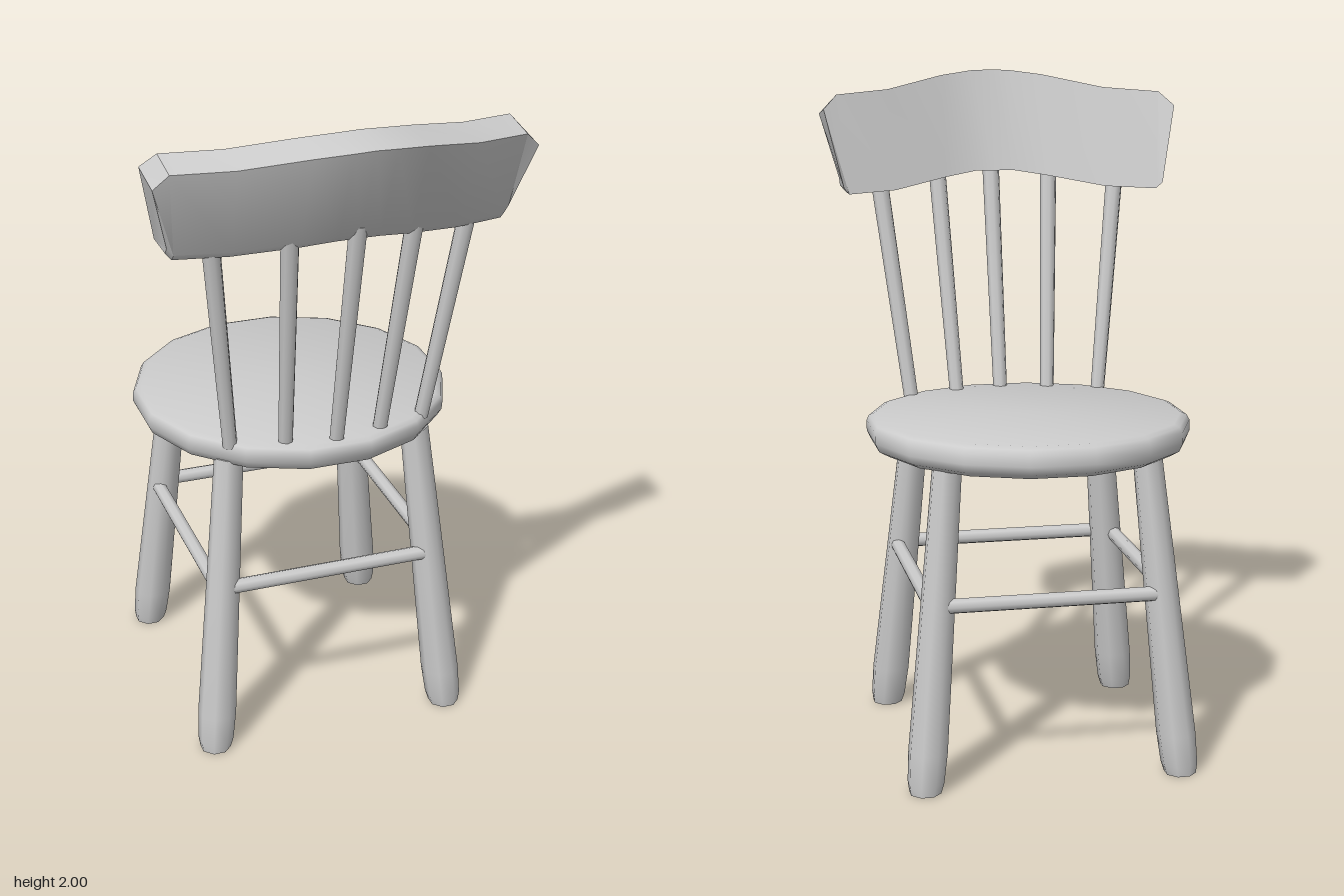
import * as THREE from 'three';
import { toCreasedNormals } from 'three/addons/utils/BufferGeometryUtils.js';

const material = new THREE.MeshStandardMaterial({ color: 0xcccccc });
const V = (x, y, z) => new THREE.Vector3(x, y, z);

function part(name, geometry) {
  const mesh = new THREE.Mesh(geometry, material);
  mesh.name = name;
  return mesh;
}

// Turned profile whose horizontal slices slide sideways with height
function turned(profile, sides, shift) {
  const points = profile.map(([r, y]) => new THREE.Vector2(r, y));
  const geo = new THREE.LatheGeometry(points, sides, Math.PI / sides);
  const p = geo.attributes.position;
  for (let i = 0; i < p.count; i++) {
    const [dx, dz] = shift(p.getY(i));
    p.setXYZ(i, p.getX(i) + dx, p.getY(i), p.getZ(i) + dz);
  }
  return toCreasedNormals(geo, 0.85);
}

// Straight round bar between two points
function bar(name, a, b, ra, rb) {
  const dir = b.clone().sub(a);
  const mesh = part(name, new THREE.CylinderGeometry(rb, ra, dir.length(), 8));
  mesh.position.copy(a).add(b).multiplyScalar(0.5);
  mesh.quaternion.setFromUnitVectors(V(0, 1, 0), dir.normalize());
  return mesh;
}

// Curved rail lofted through leaning cross-sections
function backRail() {
  // bottom x, top x, bottom y, top y, inner bottom z, bottom depth, top depth
  const half = [
    [0.06, 0.06, 1.69, 1.998, 0.39, 0.08, 0.12],
    [0.16, 0.16, 1.675, 1.985, 0.36, 0.085, 0.12],
    [0.33, 0.34, 1.645, 1.947, 0.28, 0.095, 0.12],
    [0.48, 0.505, 1.64, 1.935, 0.225, 0.11, 0.12],
    [0.497, 0.548, 1.66, 1.893, 0.21, 0.12, 0.135],
  ];
  const stations = [
    ...half.map(([a, b, ...rest]) => [-a, -b, ...rest]).reverse(),
    [0, 0, 1.69, 2.0, 0.39, 0.08, 0.12],
    ...half,
  ];
  const rings = stations.map(([xb, xt, yb, yt, z, db, dt]) => {
    const zt = z + 0.26 * (yt - yb);
    return [
      [xb, yb, z], [xt, yt, zt], [xt, yt - 0.02, zt + dt],
      [xb, yb + 0.02, z + db + 0.01], [xb, yb, z + db - 0.01],
    ];
  });
  const n = rings[0].length;
  const index = [];
  for (let i = 0; i < rings.length - 1; i++) {
    for (let j = 0; j < n; j++) {
      const a = i * n + j, d = i * n + (j + 1) % n;
      index.push(a, d, d + n, a, d + n, a + n);
    }
  }
  const last = (rings.length - 1) * n;
  for (let k = 1; k < n - 1; k++) {
    index.push(0, k + 1, k, last, last + k, last + k + 1);
  }
  const geo = new THREE.BufferGeometry();
  geo.setAttribute('position', new THREE.Float32BufferAttribute(rings.flat(2), 3));
  geo.setIndex(index);
  return toCreasedNormals(geo, 0.55);
}

export function createModel() {
  const chair = new THREE.Group();
  chair.name = 'chair';

  // Round seat with soft rim and shallow conical underside
  chair.add(part('seat', turned(
    [[0, 0.895], [0.44, 0.925], [0.468, 0.94], [0.48, 0.965], [0.48, 0.995],
      [0.472, 1.01], [0.455, 1.017], [0, 1.017]],
    16, (y) => [0, -0.115 + 0.17 * (y - 1)])));

  // Splayed legs, thickest near the foot
  const legProfile = [[0, 0], [0.047, 0], [0.054, 0.03], [0.058, 0.12], [0.043, 0.95], [0, 0.95]];
  for (const side of [-1, 1]) {
    for (const end of [-1, 1]) {
      chair.add(part('leg', turned(legProfile, 8, (y) => [
        side * (0.378 - 0.092 * y),
        -0.1 + end * (0.385 - 0.098 * y),
      ])));
    }
  }

  // Stretchers set toward the outside of the legs
  for (const s of [-1, 1]) {
    const z = -0.1 + s * 0.355;
    chair.add(bar('crossStretcher', V(-0.325, 0.54, z), V(0.325, 0.54, z), 0.022, 0.022));
    chair.add(bar('sideStretcher', V(s * 0.348, 0.54, -0.43), V(s * 0.348, 0.54, 0.23), 0.022, 0.022));
  }

  // Fanned back spindles: base x, base z, top x, top z
  const spindles = [[0, 0.308, 0, 0.445], [0.145, 0.278, 0.176, 0.41], [0.297, 0.228, 0.37, 0.33]];
  for (const [xb, zb, xt, zt] of spindles) {
    for (const s of xb ? [-1, 1] : [1]) {
      const base = V(s * xb, 1.0, zb);
      const top = base.clone().lerp(V(s * xt, 1.64, zt), 1.15);
      chair.add(bar('spindle', base, top, 0.022, 0.027));
    }
  }

  chair.add(part('backRail', backRail()));
  return chair;
}
